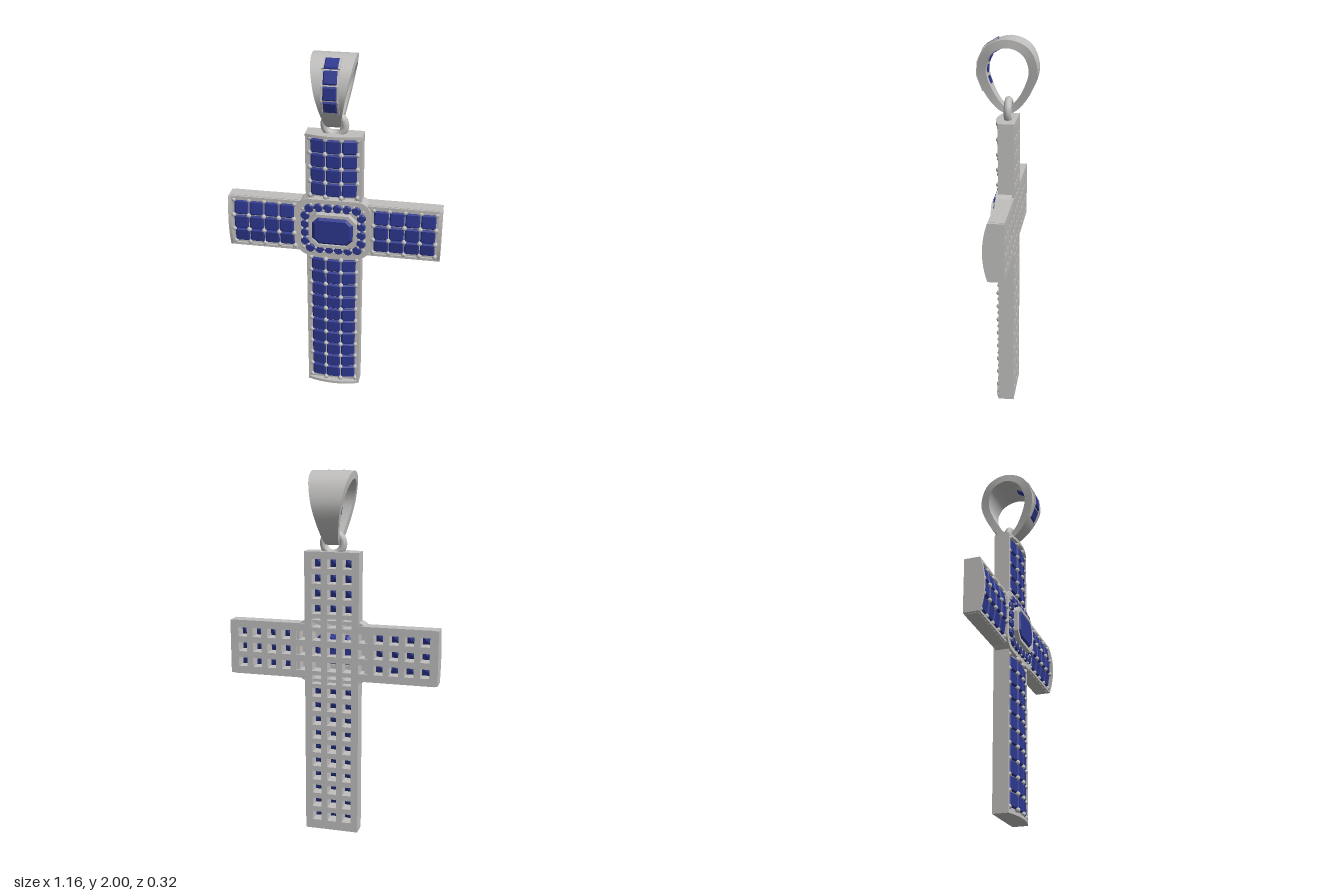
import * as THREE from 'three';
import { mergeGeometries, toCreasedNormals } from 'three/addons/utils/BufferGeometryUtils.js';

const CY = 1.037;    // height of the crossing
const BACK = -0.045; // rear face of the cross
const CAP = 0.016;   // thickness of the end caps
const HALF = 0.15;   // half width of every arm
const COL = 0.085;   // spacing of the three gem columns

const silver = new THREE.MeshStandardMaterial({ color: 0xc0bfbe });
silver.name = 'silver';
const sapphire = new THREE.MeshStandardMaterial({ color: 0x2d3890 });
sapphire.name = 'sapphire blue';

function add(parent, name, geometry, material) {
  const geo = Array.isArray(geometry)
    ? mergeGeometries(geometry.map((g) => (g.index ? g.toNonIndexed() : g))) : geometry;
  const mesh = new THREE.Mesh(geo, material);
  mesh.name = name;
  parent.add(mesh);
  return mesh;
}

const extrude = (shape, z0, z1, bevel = 0) => new THREE.ExtrudeGeometry(shape, {
  depth: z1 - z0 - bevel, curveSegments: 8, bevelEnabled: bevel > 0,
  bevelThickness: bevel, bevelSize: bevel, bevelOffset: -bevel, bevelSegments: 1,
}).translate(0, 0, z0);

function roundedRect(w, h, r, Type = THREE.Shape) {
  const s = new Type();
  s.moveTo(w, -h + r);
  s.absarc(w - r, h - r, r, 0, Math.PI / 2);
  s.absarc(-w + r, h - r, r, Math.PI / 2, Math.PI);
  s.absarc(-w + r, -h + r, r, Math.PI, Math.PI * 1.5);
  s.absarc(w - r, -h + r, r, Math.PI * 1.5, Math.PI * 2);
  return s;
}

const octagonPoints = (w, h, c) => [
  [w, -h + c], [w, h - c], [w - c, h], [-w + c, h],
  [-w, h - c], [-w, -h + c], [-w + c, -h], [w - c, -h],
].map(([x, y]) => new THREE.Vector2(x, y));

const squareHole = (x, y, s) => new THREE.Path([
  [x - s, y - s], [x - s, y + s], [x + s, y + s], [x + s, y - s],
].map(([a, b]) => new THREE.Vector2(a, b)));

// Faceted stone facing +z: pavilion, girdle, crown and table
function gem(sides, w, h, top, depth = 0.035) {
  const r = sides === 4 ? Math.SQRT1_2 : 0.5;
  const profile = [[0, top - depth], [0.94 * r, top - 0.016], [r, top - 0.011],
    [r, top - 0.007], [0.82 * r, top], [0, top]].map(([x, y]) => new THREE.Vector2(x, y));
  const g = new THREE.LatheGeometry(profile, sides, Math.PI / sides).rotateX(Math.PI / 2)
    .scale(w, h, 1).toNonIndexed();
  g.computeVertexNormals();
  return g;
}

const bead = (x, y, z, r) => new THREE.SphereGeometry(r, 10, 8).translate(x, y, z);
const dome = (t) => 0.065 - 1.1 * t * t; // crown of the arms across their width

// One arm built along +y, then turned about the crossing
function arm(parent, name, angle, end, first, step, count) {
  const g = new THREE.Group();
  g.name = name;
  g.position.y = CY;
  g.rotation.z = angle;
  parent.add(g);

  const stones = [], prongs = [];
  for (let i = 0; i < count; i++) {
    for (const c of [-1, 0, 1]) {
      stones.push(gem(4, 0.079, step - 0.005, 0).rotateY(c * 0.15)
        .translate(c * COL, first + i * step, dome(c * COL) - 0.011));
    }
  }
  for (let i = 0; i <= count; i++) {
    for (const c of [-1.5, -0.5, 0.5, 1.5]) {
      prongs.push(bead(c * COL, first + (i - 0.5) * step, dome(c * COL) - 0.013, 0.0135));
    }
  }
  add(g, 'armStones', stones, sapphire);
  add(g, 'armProngs', prongs, silver);

  // side rails and arched end cap
  const from = 0.15, len = end - CAP - from;
  add(g, 'sideRails', [-1, 1].map((s) => new THREE.BoxGeometry(0.014, len, 0.02)
    .translate(s * (HALF - 0.007), from + len / 2, 0.03)), silver);
  const arch = new THREE.Shape();
  arch.moveTo(-HALF, BACK);
  arch.lineTo(HALF, BACK);
  arch.lineTo(HALF, 0.04);
  arch.quadraticCurveTo(0, 0.09, -HALF, 0.04);
  add(g, 'endCap', extrude(arch, 0, CAP).rotateX(Math.PI / 2).translate(0, end, 0), silver);
}

// Cross-shaped plate with the square window grid
function plate(parent) {
  const x = 0.58 - CAP, lo = CAP, hi = 1.58 - CAP, a = CY - 0.152, b = CY + 0.152;
  const s = new THREE.Shape([[-HALF, lo], [HALF, lo], [HALF, a], [x, a], [x, b], [HALF, b],
    [HALF, hi], [-HALF, hi], [-HALF, b], [-x, b], [-x, a], [-HALF, a]]
    .map(([u, v]) => new THREE.Vector2(u, v)));
  const rows = [CY - 0.158, CY - COL, CY, CY + COL, CY + 0.158];
  for (let i = 0; i < 10; i++) rows.push(CY - 0.231 - i * 0.081);
  for (let i = 0; i < 4; i++) rows.push(CY + 0.233 + i * 0.082);
  for (const c of [-COL, 0, COL]) {
    for (const y of rows) s.holes.push(squareHole(c, y, 0.025));
    for (const side of [-1, 1]) {
      for (const u of [0.174, 0.258, 0.342, 0.426, 0.51]) s.holes.push(squareHole(side * u, CY + c, 0.025));
    }
  }
  add(parent, 'crossPlate', extrude(s, BACK, 0.03), silver);
}

// Central cluster: rim, halo of round stones, step-cut stone in a frame
function centre(parent) {
  const g = new THREE.Group();
  g.name = 'centreCluster';
  g.position.y = CY;
  parent.add(g);

  const rim = roundedRect(0.2, 0.172, 0.07);
  rim.holes.push(roundedRect(0.183, 0.155, 0.055, THREE.Path));
  add(g, 'outerRim', extrude(rim, -0.035, 0.05), silver);

  const bed = roundedRect(0.184, 0.156, 0.056);
  bed.holes.push(new THREE.Path(octagonPoints(0.112, 0.085, 0.035)));
  add(g, 'haloBed', extrude(bed, 0.03, 0.05), silver);

  const stones = [], beads = [], n = 20;
  const path = roundedRect(0.153, 0.126, 0.045, THREE.Path);
  path.closePath();
  const pts = path.getSpacedPoints(n * 2);
  for (let i = 0; i < n * 2; i++) {
    const { x, y } = pts[i];
    if (i % 2) beads.push(bead(x * 1.12, y * 1.14, 0.055, 0.008), bead(x * 0.93, y * 0.92, 0.06, 0.008));
    else stones.push(gem(12, 0.05, 0.05, 0.064, 0.025).translate(x, y, 0));
  }
  add(g, 'haloStones', stones, sapphire);
  add(g, 'haloBeads', beads, silver);

  const frame = new THREE.Shape(octagonPoints(0.13, 0.1, 0.042));
  frame.holes.push(new THREE.Path(octagonPoints(0.112, 0.083, 0.035)));
  add(g, 'centreFrame', extrude(frame, 0.035, 0.083), silver);
  add(g, 'centreStone', extrude(new THREE.Shape(octagonPoints(0.113, 0.084, 0.035)), 0.031, 0.088, 0.018), sapphire);
}

// Closed smooth teardrop in the z-y plane, starting at the top towards the front
function teardrop(half) {
  const mirrored = half.slice(1, -1).reverse().map(([z, y]) => [-z, y]);
  return new THREE.CatmullRomCurve3([...half, ...mirrored]
    .map(([z, y]) => new THREE.Vector3(0, y, z)), true);
}

// Tapered bail with channel-set stones down its front
function bail(parent) {
  const g = new THREE.Group();
  g.name = 'bail';
  parent.add(g);
  const outer = teardrop([[0, 2], [0.11, 1.957], [0.156, 1.84], [0.118, 1.72], [0.045, 1.63], [0, 1.613]]);
  const inner = teardrop([[0, 1.958], [0.078, 1.925], [0.11, 1.84], [0.08, 1.74], [0.028, 1.66], [0, 1.645]]);
  const N = 72, pos = [], idx = [];
  for (let i = 0; i < N; i++) {
    const o = outer.getPoint(i / N), p = inner.getPoint(i / N);
    const w = 0.036 + 0.076 * (o.y - 1.613) / 0.387;
    pos.push(-w, o.y, o.z, w, o.y, o.z, w, p.y, p.z, -w, p.y, p.z);
    for (let k = 0; k < 4; k++) {
      const a = i * 4 + k, b = i * 4 + (k + 1) % 4;
      const c = ((i + 1) % N) * 4 + k, d = ((i + 1) % N) * 4 + (k + 1) % 4;
      idx.push(a, c, b, b, c, d);
    }
  }
  const band = new THREE.BufferGeometry();
  band.setAttribute('position', new THREE.Float32BufferAttribute(pos, 3));
  band.setIndex(idx);
  add(g, 'bailBand', toCreasedNormals(band, 0.6), silver);

  const stones = [], rails = [];
  for (let i = 0; i < 4; i++) {
    const u = 0.083 + i * 0.072;
    const p = outer.getPointAt(u), t = outer.getTangentAt(u);
    const turn = -Math.atan2(t.z, -t.y); // outward normal of the band
    const place = (q) => q.rotateX(turn).translate(0, p.y, p.z);
    stones.push(place(gem(4, 0.07, 0.07, 0.006)));
    stones.push(place(new THREE.BoxGeometry(0.04, 0.04, 0.05).translate(0, 0, -0.027)));
    for (const s of [-1, 1]) {
      rails.push(place(new THREE.BoxGeometry(0.009, 0.078, 0.02).translate(s * 0.041, 0, -0.003)));
    }
  }
  add(g, 'bailStones', stones, sapphire);
  add(g, 'bailRails', rails, silver);
}

export function createModel() {
  const model = new THREE.Group();
  model.name = 'crossPendant';
  plate(model);
  arm(model, 'upperArm', 0, 0.543, 0.233, 0.082, 4);
  arm(model, 'lowerArm', Math.PI, CY, 0.231, 0.081, 10);
  arm(model, 'leftArm', -Math.PI / 2, 0.58, 0.258, 0.084, 4);
  arm(model, 'rightArm', Math.PI / 2, 0.58, 0.258, 0.084, 4);
  centre(model);
  bail(model);
  // jump ring linking bail and cross
  add(model, 'jumpRing', new THREE.TorusGeometry(0.054, 0.021, 12, 36).translate(0, 1.622, 0), silver);
  return model;
}
